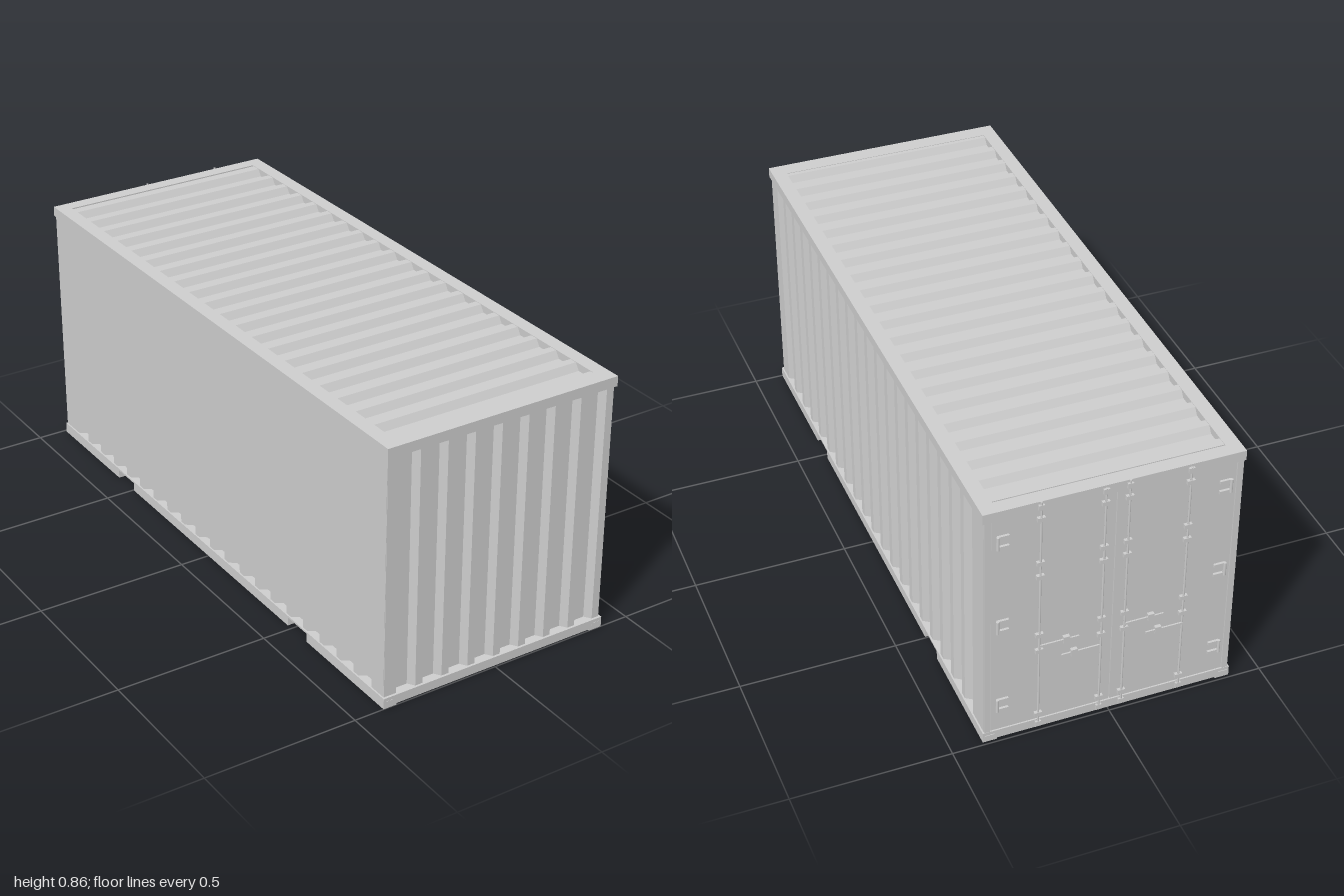
import * as THREE from 'three';

export function createModel() {
  const root = new THREE.Group();
  root.name = 'shippingContainer';
  const steel = new THREE.MeshStandardMaterial({ color: 0xcccccc });
  steel.name = 'greySteel';

  function add(name, geo, parent = root) {
    const m = new THREE.Mesh(geo, steel);
    m.name = name;
    parent.add(m);
    return m;
  }
  // box given by its min and max corners
  function box(name, x0, x1, y0, y1, z0, z1, parent = root) {
    const m = add(name, new THREE.BoxGeometry(x1 - x0, y1 - y0, z1 - z0), parent);
    m.position.set((x0 + x1) / 2, (y0 + y1) / 2, (z0 + z1) / 2);
    return m;
  }
  // corrugated sheet: profile along u with grooves cut to -depth, extruded by length
  function corrugated(u0, u1, centres, depth, length) {
    const top = [[u0, 0]];
    for (const c of [...centres].sort((a, b) => a - b))
      top.push([c - 0.034, 0], [c - 0.019, -depth], [c + 0.019, -depth], [c + 0.034, 0]);
    top.push([u1, 0]);
    const under = top.map(([u, d]) => [u, d - 0.005]).reverse();
    const shape = new THREE.Shape([...top, ...under].map(([u, d]) => new THREE.Vector2(u, d)));
    return new THREE.ExtrudeGeometry(shape, { depth: length, bevelEnabled: false });
  }
  const series = (start, step, n) => Array.from({ length: n }, (_, i) => start + step * i);

  // corrugated walls
  const sideGrooves = series(0.894, -0.0925, 20);
  for (const s of [1, -1]) {
    const g = corrugated(s > 0 ? -0.984 : -0.99, s > 0 ? 0.99 : 0.984, sideGrooves.map(z => z * s), 0.022, 0.8);
    g.rotateX(-Math.PI / 2).rotateY(-s * Math.PI / 2).translate(s * 0.396, 0.03, 0);
    add(s > 0 ? 'leftWall' : 'rightWall', g);
  }
  const frontGrooves = series(-0.319, 0.0935, 8).map(x => -x);
  add('frontWall', corrugated(-0.395, 0.395, frontGrooves, 0.022, 0.8)
    .rotateX(-Math.PI / 2).rotateY(Math.PI).translate(0, 0.03, 0.992));

  // corrugated roof
  add('roof', corrugated(-0.94, 0.96, series(-0.874, 0.0932, 20), 0.022, 0.72)
    .translate(0, 0, -0.36).rotateY(-Math.PI / 2).translate(0, 0.8585, 0));

  // floor sheet, open above so the fork slots run right through
  box('floor', -0.356, 0.356, 0.005, 0.01, -0.985, 0.99);

  // bottom side rails with fork notches
  const rail = new THREE.Shape([
    [-0.99, 0], [-0.6, 0], [-0.6, 0.029], [-0.495, 0.029], [-0.495, 0],
    [0.48, 0], [0.48, 0.029], [0.585, 0.029], [0.585, 0], [1, 0], [1, 0.035], [-0.99, 0.035],
  ].map(([z, y]) => new THREE.Vector2(z, y)));
  for (const s of [1, -1]) {
    const side = s > 0 ? 'left' : 'right';
    const g = new THREE.ExtrudeGeometry(rail, { depth: 0.045, bevelEnabled: false });
    g.rotateY(-Math.PI / 2).translate(s > 0 ? 0.401 : -0.356, 0, 0);
    add(side + 'BottomRail', g);
    const a = s > 0 ? 0.355 : -0.401, b = s > 0 ? 0.401 : -0.355;
    box(side + 'TopRail', a, b, 0.827, 0.86, -0.99, 1);
    box(side + 'RearPost', s > 0 ? 0.376 : -0.395, s > 0 ? 0.395 : -0.376, 0.03, 0.83, -0.989, -0.95);
    // corner pocket plates
    const px = s * 0.38;
    box(side + 'FrontCornerPocket', px - 0.015, px + 0.015, 0.015, 0.024, 0.999, 1.001);
    box(side + 'RearCornerPocket', px - 0.015, px + 0.015, 0.015, 0.024, -0.992, -0.989);
  }
  // end rails
  box('frontBottomRail', -0.356, 0.356, 0.005, 0.035, 0.95, 1);
  box('frontTopRail', -0.356, 0.356, 0.827, 0.86, 0.945, 1);
  box('rearSill', -0.356, 0.356, 0.005, 0.035, -0.99, -0.95);
  box('rearHeader', -0.356, 0.356, 0.827, 0.86, -0.99, -0.945);

  // doors
  box('leftDoor', -0.002, 0.374, 0.037, 0.825, -0.987, -0.97);
  box('rightDoor', -0.374, -0.005, 0.037, 0.825, -0.987, -0.97);
  box('doorBacking', -0.385, 0.385, 0.03, 0.83, -0.97, -0.965);

  // locking rods with guide brackets and end cams
  const hardware = new THREE.Group();
  hardware.name = 'doorHardware';
  root.add(hardware);
  [[0.228, 0.862], [0.033, 0.853], [-0.04, 0.862], [-0.228, 0.853]].forEach(([x, top]) => {
    const rod = add('lockingRod', new THREE.CylinderGeometry(0.0035, 0.0035, top - 0.015, 8), hardware);
    rod.position.set(x, (top + 0.015) / 2, -0.994);
    for (const y of [0.8, 0.64, 0.59, 0.37, 0.31, 0.06])
      box('rodGuide', x - 0.012, x + 0.012, y - 0.007, y + 0.007, -0.998, -0.986, hardware);
    for (const y of [0.842, 0.022])
      box('rodCam', x - 0.009, x + 0.009, y - 0.009, y + 0.009, -0.998, -0.989, hardware);
  });

  // handles and their catches
  for (const x of [0.228, -0.04]) {
    box('upperHandle', x - 0.125, x, 0.325, 0.332, -0.998, -0.993, hardware);
    box('upperCatch', x - 0.095, x - 0.075, 0.317, 0.34, -0.999, -0.986, hardware);
    box('lowerHandle', x - 0.19, x - 0.07, 0.267, 0.274, -0.998, -0.993, hardware);
    box('lowerCatch', x - 0.12, x - 0.1, 0.259, 0.282, -0.999, -0.986, hardware);
  }

  // hinges: pin with two arms reaching over the door
  for (const s of [1, -1]) for (const y of [0.75, 0.44, 0.135]) {
    const pin = add('hingePin', new THREE.CylinderGeometry(0.005, 0.005, 0.046, 8), hardware);
    pin.position.set(s * 0.357, y, -0.994);
    for (const d of [-0.018, 0.018])
      box('hingeArm', s * 0.34 - 0.018, s * 0.34 + 0.018, y + d - 0.005, y + d + 0.005, -0.995, -0.986, hardware);
  }
  return root;
}
